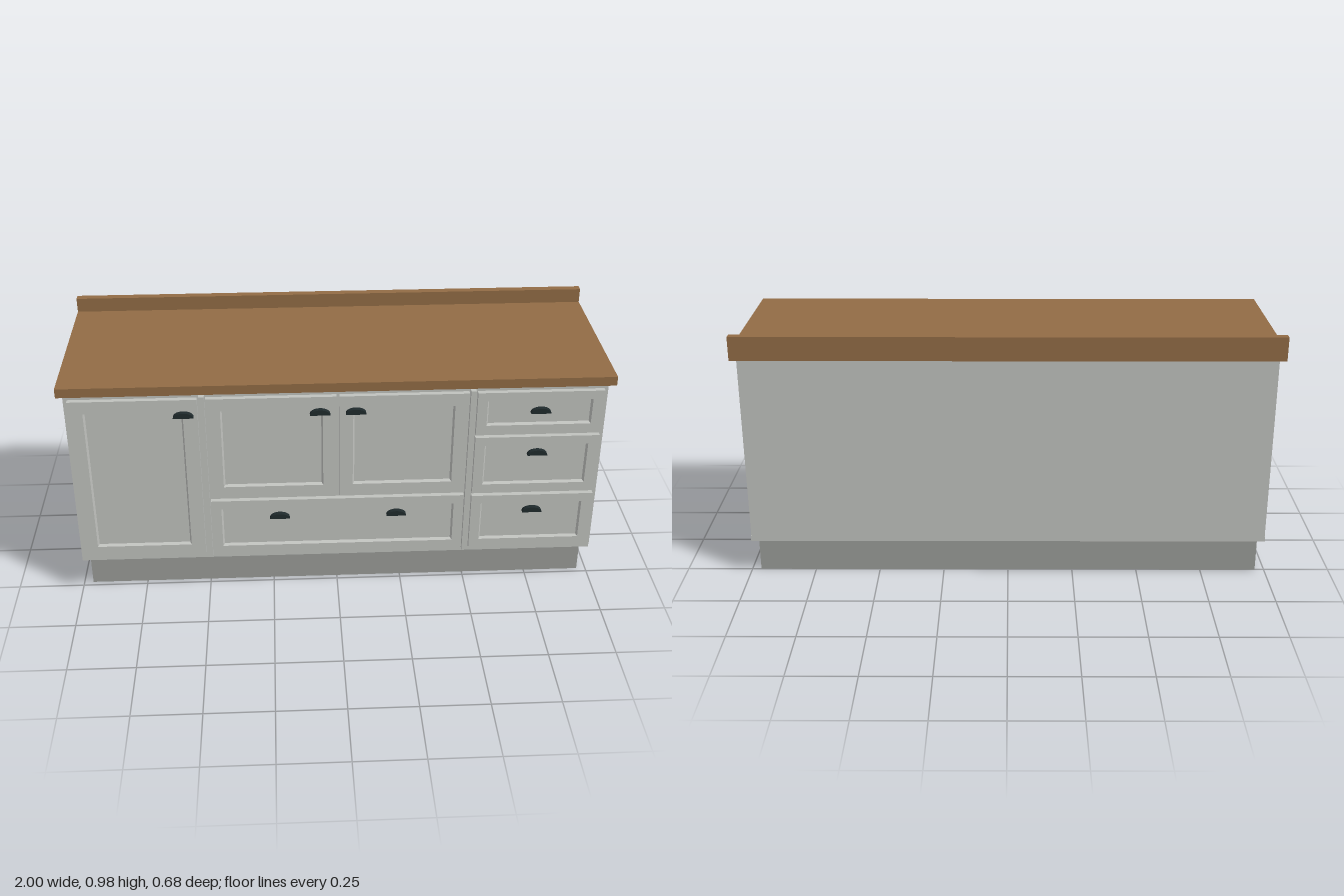
import * as THREE from 'three';

const mat = (name, color) => {
  const m = new THREE.MeshStandardMaterial({ color });
  m.name = name;
  return m;
};

// Rectangular front with a bevelled recess, built from nested rectangle loops
function recessedPanel([x0, x1, y0, y1], [ix0, ix1, iy0, iy1]) {
  const back = 0.288, front = 0.309, sunk = 0.298, b = 0.006;
  const rect = (l, r, d, u, z) => [[l, d, z], [r, d, z], [r, u, z], [l, u, z]];
  const loops = [
    rect(x0, x1, y0, y1, back),
    rect(x0, x1, y0, y1, front),
    rect(ix0, ix1, iy0, iy1, front),
    rect(ix0 + b, ix1 - b, iy0 + b, iy1 - b, sunk),
  ];
  const pos = [];
  const quad = (a, b2, c, d) => pos.push(...a, ...b2, ...c, ...a, ...c, ...d);
  for (let i = 0; i < loops.length - 1; i++) {
    for (let k = 0; k < 4; k++) {
      const n = (k + 1) % 4;
      quad(loops[i][k], loops[i][n], loops[i + 1][n], loops[i + 1][k]);
    }
  }
  quad(...loops[3]);
  quad(...[...loops[0]].reverse());
  const g = new THREE.BufferGeometry();
  g.setAttribute('position', new THREE.Float32BufferAttribute(pos, 3));
  g.computeVertexNormals();
  return g;
}

// Half-ellipse cup pull with a flat underside
function cupPull() {
  const s = new THREE.Shape();
  s.absellipse(0, 0, 0.037, 0.021, 0, Math.PI, false);
  s.closePath();
  return new THREE.ExtrudeGeometry(s, { depth: 0.018, bevelEnabled: false, curveSegments: 10 });
}

export function createModel() {
  const root = new THREE.Group();
  root.name = 'kitchenCabinet';
  const paint = mat('paintedGrey', 0xbfc1bd);
  const plinthGrey = mat('plinthGrey', 0x999b97);
  const wood = mat('wood', 0x916b45);
  const metal = mat('darkMetal', 0x1f2a2c);

  const add = (name, geo, material) => {
    const m = new THREE.Mesh(geo, material);
    m.name = name;
    root.add(m);
    return m;
  };
  const box = (name, material, x0, x1, y0, y1, z0, z1) =>
    add(name, new THREE.BoxGeometry(x1 - x0, y1 - y0, z1 - z0), material)
      .position.set((x0 + x1) / 2, (y0 + y1) / 2, (z0 + z1) / 2);

  // Body
  box('plinth', plinthGrey, -0.965, 0.965, 0, 0.142, -0.25, 0.23);
  box('basePanel', paint, -0.987, 0.987, 0.142, 0.163, -0.288, 0.28);
  box('carcass', paint, -0.985, 0.985, 0.163, 0.89, -0.288, 0.29);

  // Worktop
  box('worktop', wood, -1, 1, 0.89, 0.925, -0.34, 0.34);
  box('upstand', wood, -1, 1, 0.925, 0.98, -0.34, -0.31);

  // Upright bars between the columns
  for (const x of [-0.491, 0.491]) box('dividerBar', paint, x - 0.01, x + 0.01, 0.163, 0.863, 0.285, 0.309);

  // Doors and drawers: outer rectangle, recess rectangle
  const fronts = [
    ['sideDoor', [-0.97, -0.507, 0.173, 0.854], [-0.917, -0.56, 0.224, 0.805]],
    ['middleDoorRight', [-0.477, -0.005, 0.43, 0.854], [-0.426, -0.055, 0.48, 0.805]],
    ['middleDoorLeft', [0.005, 0.477, 0.43, 0.854], [0.055, 0.426, 0.48, 0.805]],
    ['wideDrawer', [-0.477, 0.477, 0.173, 0.417], [-0.44, 0.44, 0.213, 0.38]],
    ['topDrawer', [0.507, 0.97, 0.68, 0.854], [0.544, 0.93, 0.718, 0.82]],
    ['middleDrawer', [0.507, 0.97, 0.425, 0.667], [0.544, 0.93, 0.463, 0.632]],
    ['bottomDrawer', [0.507, 0.97, 0.173, 0.412], [0.544, 0.93, 0.213, 0.377]],
  ];
  for (const [name, outer, inner] of fronts) add(name, recessedPanel(outer, inner), paint);

  // Cup pulls
  const pull = cupPull();
  const pulls = [
    [-0.557, 0.793], [-0.066, 0.793], [0.064, 0.793],
    [-0.22, 0.35], [0.22, 0.35],
    [0.737, 0.779], [0.737, 0.602], [0.737, 0.35],
  ];
  for (const [x, y] of pulls) add('cupPull', pull, metal).position.set(x, y, 0.319);

  return root;
}
